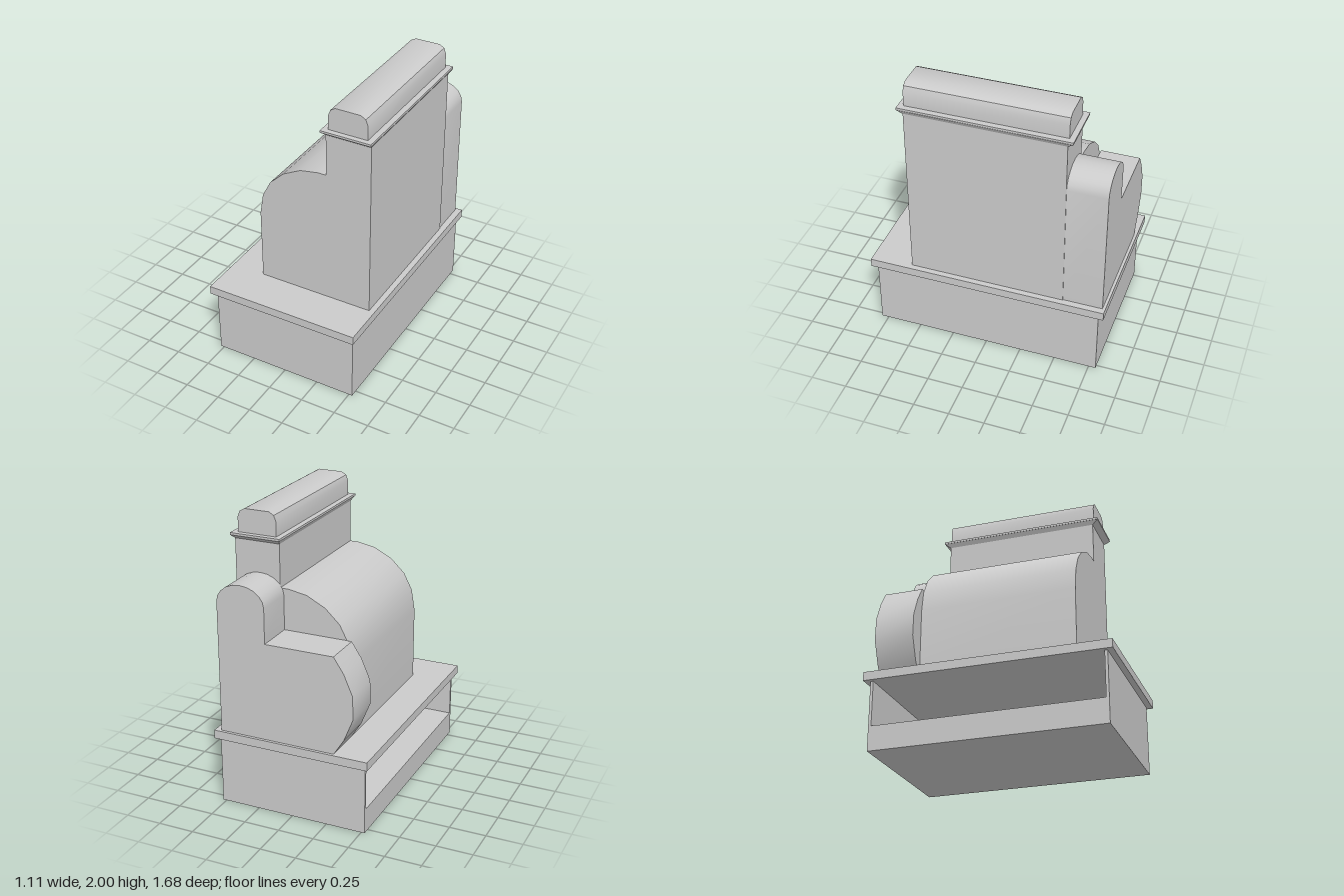
import * as THREE from 'three';
import { toCreasedNormals } from 'three/addons/utils/BufferGeometryUtils.js';

const material = new THREE.MeshStandardMaterial({ color: 0xcccccc });

export function createModel() {
  const model = new THREE.Group();

  const add = (name, geometry, parent = model) => {
    const mesh = new THREE.Mesh(geometry, material);
    mesh.name = name;
    parent.add(mesh);
    return mesh;
  };

  // Box given by its limits on each axis
  const box = (name, [x0, x1], [y0, y1], [z0, z1], parent) => {
    const mesh = add(name, new THREE.BoxGeometry(x1 - x0, y1 - y0, z1 - z0), parent);
    mesh.position.set((x0 + x1) / 2, (y0 + y1) / 2, (z0 + z1) / 2);
    return mesh;
  };

  // Front-facing outline extruded from z0 to z1
  const slab = (name, points, z0, z1) => {
    const shape = new THREE.Shape(points.map(([x, y]) => new THREE.Vector2(x, y)));
    const geometry = new THREE.ExtrudeGeometry(shape, { depth: z1 - z0, bevelEnabled: false });
    geometry.translate(0, 0, z0);
    return add(name, toCreasedNormals(geometry, 0.6));
  };

  // Plinth: solid bottom, walls on three sides, open bay on the right (-x)
  const plinth = new THREE.Group();
  plinth.name = 'plinth';
  model.add(plinth);
  box('plinthFloor', [-0.525, 0.525], [0, 0.17], [-0.8, 0.8], plinth);
  box('plinthLeftWall', [0.505, 0.525], [0.17, 0.48], [-0.8, 0.8], plinth);
  for (const [name, z] of [['plinthFrontWall', 0.79], ['plinthBackWall', -0.79]]) {
    box(name, [-0.525, 0.505], [0.17, 0.48], [z - 0.01, z + 0.01], plinth);
  }
  box('plinthTop', [-0.555, 0.55], [0.48, 0.54], [-0.84, 0.84]);

  // Main body: curved shoulder rising into the tall tower
  slab('body', [
    [-0.315, 0.54], [0.51, 0.54], [0.51, 1.8], [0.19, 1.8], [0.19, 1.5],
    [0.13, 1.5], [0, 1.477], [-0.13, 1.41], [-0.23, 1.315], [-0.29, 1.2], [-0.315, 1.05],
  ], -0.545, 0.545);

  // Rear casing: bulging side and an arched stack
  const arch = [];
  for (let i = 0; i <= 10; i++) {
    const a = (i / 10) * Math.PI;
    arch.push([0.335 + 0.17 * Math.cos(a), 1.455 + 0.13 * Math.sin(a)]);
  }
  slab('rearCasing', [
    [-0.315, 0.54], [0.505, 0.54], ...arch, [0.165, 1.215], [-0.315, 1.215],
    [-0.385, 1.11], [-0.445, 0.97], [-0.45, 0.81], [-0.385, 0.65],
  ], -0.82, -0.545);

  // Cornice: thin plate over a flared moulding
  const flare = new THREE.BoxGeometry(0.355, 0.03, 1.17);
  const p = flare.attributes.position;
  for (let i = 0; i < p.count; i++) {
    if (p.getY(i) < 0) p.setXYZ(i, Math.sign(p.getX(i)) * 0.16, -0.015, Math.sign(p.getZ(i)) * 0.545);
  }
  flare.computeVertexNormals();
  add('corniceFlare', flare).position.set(0.35, 1.81, 0);
  box('cornicePlate', [0.17, 0.525], [1.825, 1.84], [-0.585, 0.585]);

  // Rounded cap along the tower top
  slab('cap', [
    [0.21, 1.84], [0.485, 1.84], [0.485, 1.94], [0.47, 1.98], [0.435, 2],
    [0.26, 2], [0.225, 1.98], [0.21, 1.94],
  ], -0.548, 0.548);

  return model;
}
